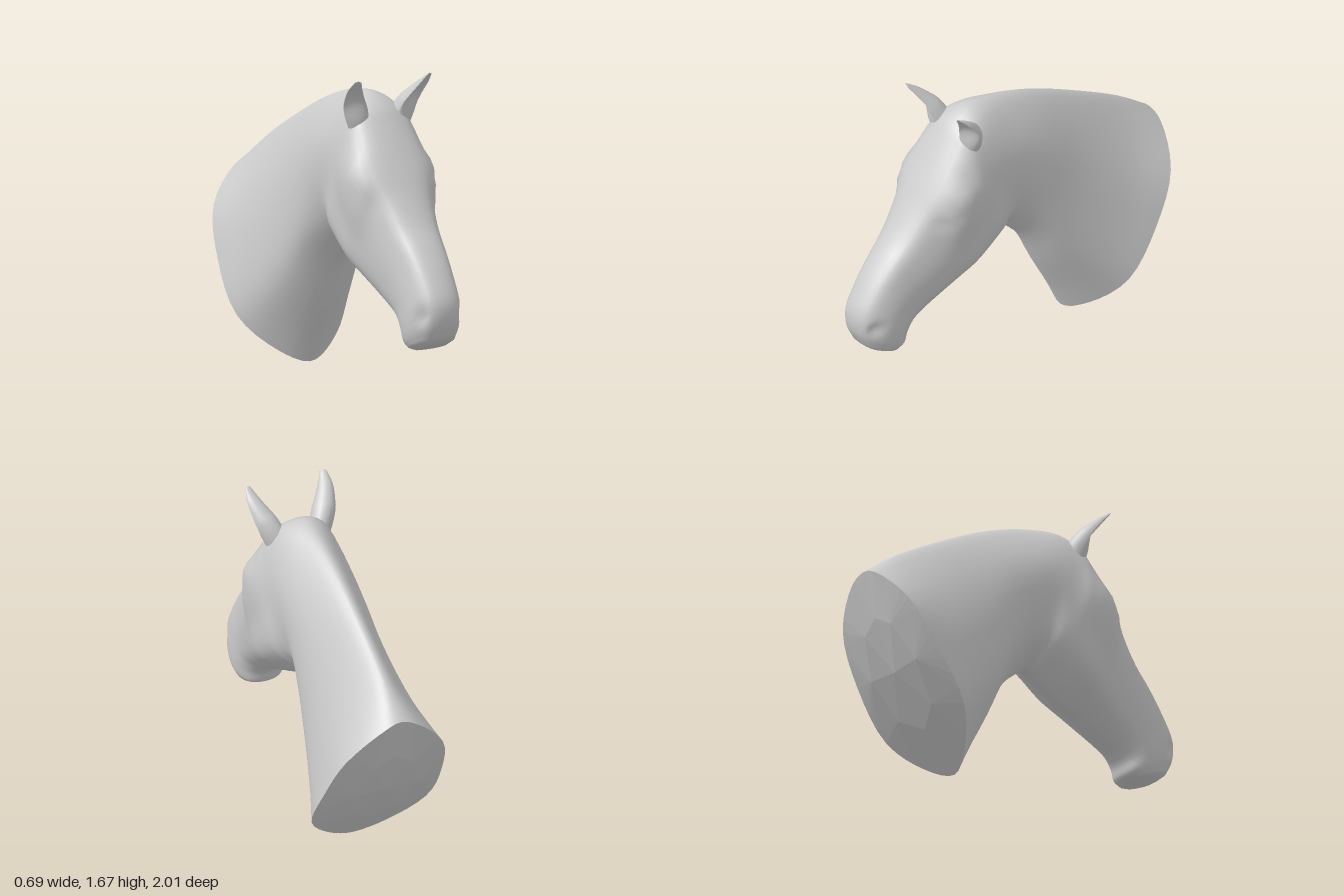
import * as THREE from 'three';

const V = (x, y, z) => new THREE.Vector3(x, y, z);
const grey = (o = {}) => new THREE.MeshStandardMaterial({ color: 0xcccccc, ...o });

// Cross-sections from neck base to lips: top z, top y, bottom z, bottom y,
// then half-widths at the STATIONS between top and bottom.
const STATIONS = [0.06, 0.28, 0.55, 0.8, 0.95];
const SECTIONS = [
  [-1.0, 0.99, -0.4, 0.0, 0.1, 0.275, 0.335, 0.325, 0.16],
  [-0.8, 1.14, -0.34, 0.13, 0.075, 0.215, 0.285, 0.275, 0.13],
  [-0.5, 1.31, -0.23, 0.34, 0.07, 0.18, 0.235, 0.22, 0.1],
  [-0.2, 1.455, -0.11, 0.58, 0.07, 0.175, 0.21, 0.185, 0.08],
  [0.05, 1.535, 0.0, 0.69, 0.08, 0.185, 0.205, 0.155, 0.06],
  [0.23, 1.555, 0.055, 0.718, 0.11, 0.195, 0.213, 0.183, 0.07],
  [0.34, 1.495, 0.09, 0.71, 0.145, 0.212, 0.225, 0.208, 0.09],
  [0.41, 1.41, 0.16, 0.67, 0.155, 0.242, 0.236, 0.215, 0.09],
  [0.54, 1.22, 0.28, 0.6, 0.17, 0.245, 0.232, 0.21, 0.085],
  [0.63, 1.08, 0.39, 0.55, 0.13, 0.188, 0.205, 0.185, 0.085],
  [0.73, 0.94, 0.49, 0.5, 0.11, 0.16, 0.178, 0.158, 0.08],
  [0.83, 0.83, 0.58, 0.455, 0.1, 0.143, 0.157, 0.14, 0.075],
  [0.93, 0.7, 0.645, 0.42, 0.09, 0.138, 0.15, 0.13, 0.075],
  [1.0, 0.57, 0.69, 0.37, 0.085, 0.132, 0.15, 0.132, 0.08],
  [1.0, 0.46, 0.71, 0.31, 0.078, 0.122, 0.14, 0.122, 0.08],
  [0.96, 0.37, 0.75, 0.29, 0.07, 0.105, 0.117, 0.105, 0.07],
];
const BOWS = [0.125, 0.05]; // how far the first sections bow backwards
const AROUND = 48, PER_SECTION = 4;

// Nostrils, eye hollows, brows and eyelids: centre, radius, depth (negative swells)
const DENTS = [
  [V(0.11, 0.5, 0.94), 0.06, 0.02],
  [V(0.2, 1.04, 0.57), 0.07, 0.012],
  [V(0.23, 1.18, 0.45), 0.11, -0.02],
  [V(0.21, 1.09, 0.53), 0.045, -0.01],
];

// Closed control loop of one section: top, left side, bottom, right side.
function sectionLoop([tz, ty, bz, by, ...widths], index) {
  const back = V(0, bz - tz, -(ty - by)).normalize();
  const bow = BOWS[index] || 0;
  const at = (t, x) => V(x, ty + (by - ty) * t, tz + (bz - tz) * t)
    .addScaledVector(back, bow * Math.sin(Math.PI * t) ** 0.7);
  const left = widths.map((w, i) => at(STATIONS[i], w));
  const right = widths.map((w, i) => at(STATIONS[i], -w)).reverse();
  const top = V(0, ty, tz), bottom = V(0, by, bz);
  return [top, ...left, bottom, ...right];
}

// Smooth skin over closed rings of equal length.
function skin(rings) {
  const n = rings[0].length, index = [];
  for (let i = 0; i < rings.length - 1; i++) {
    for (let j = 0; j < n; j++) {
      const k = (j + 1) % n;
      const a = i * n + j, b = i * n + k, c = a + n, d = b + n;
      index.push(a, c, b, b, c, d);
    }
  }
  const g = new THREE.BufferGeometry().setFromPoints(rings.flat());
  g.setIndex(index);
  g.computeVertexNormals();
  return g;
}

const centreOf = (ring) =>
  ring.reduce((s, p) => s.add(p), V(0, 0, 0)).divideScalar(ring.length);
const shrink = (ring, s, shift) => {
  const c = centreOf(ring);
  return ring.map((p) => c.clone().lerp(p, s).add(shift));
};

// Rings of the neck and head, interpolated both along and around.
function bodyRings() {
  const loops = SECTIONS.map(sectionLoop);
  const rails = loops[0].map((_, j) => new THREE.CatmullRomCurve3(loops.map((l) => l[j])));
  const steps = (SECTIONS.length - 1) * PER_SECTION, rings = [];
  for (let i = 0; i <= steps; i++) {
    const loop = new THREE.CatmullRomCurve3(rails.map((r) => r.getPoint(i / steps)), true);
    rings.push(Array.from({ length: AROUND }, (_, j) => loop.getPoint(j / AROUND)));
  }
  for (const p of rings.flat()) {
    for (const [c, radius, depth] of DENTS) {
      const d = Math.hypot(Math.abs(p.x) - c.x, p.y - c.y, p.z - c.z) / radius;
      if (d < 1) p.x -= Math.sign(p.x) * depth * (1 - d * d) ** 2;
    }
  }
  return rings;
}

// Faceted, slightly domed plate closing the neck.
function backPlate(rim) {
  const n = rim.length, STEP = 6, out = V(0, -0.52, -0.855);
  const inner = shrink(rim, 0.55, out.clone().multiplyScalar(0.05));
  const centre = centreOf(rim).addScaledVector(out, 0.065);
  const snap = (j) => inner[(Math.round(j / STEP) * STEP) % n];
  const pts = [];
  for (let j = 0; j < n; j++) {
    const k = (j + 1) % n, a = snap(j), b = snap(j + 1);
    pts.push(a, rim[j], rim[k]);
    if (a !== b) pts.push(a, rim[k], b, centre, a, b);
  }
  const g = new THREE.BufferGeometry().setFromPoints(pts);
  g.computeVertexNormals();
  return g;
}

// Cupped ear, open towards the front and outside; side is +1 or -1.
function earGeometry(side) {
  const axis = V(0.2, 0.79, 0.58).normalize();
  const back = V(-0.3, 0.56, -0.73).projectOnPlane(axis).normalize();
  const across = back.clone().cross(axis);
  const spine = new THREE.CatmullRomCurve3([V(0.11, 1.38, 0.3), V(0.147, 1.46, 0.33),
    V(0.18, 1.54, 0.37), V(0.206, 1.61, 0.418), V(0.215, 1.665, 0.462)]);
  // half-width, depth behind, front bulge (negative is hollow)
  const shape = new THREE.CatmullRomCurve3([V(0.06, 0.08, 0.8), V(0.064, 0.075, 0.5),
    V(0.057, 0.055, -0.2), V(0.04, 0.032, -0.35), V(0.018, 0.008, 0)]);
  const rings = [];
  for (let i = 0; i <= 16; i++) {
    const c = spine.getPoint(i / 16), s = shape.getPoint(i / 16), ring = [];
    for (let j = 0; j < 24; j++) {
      const a = (-side * j * Math.PI * 2) / 24, sin = Math.sin(a);
      const p = c.clone().addScaledVector(across, s.x * Math.cos(a))
        .addScaledVector(back, s.y * sin * (sin < 0 ? s.z : 1));
      p.x *= side;
      ring.push(p);
    }
    rings.push(ring);
  }
  rings.push(shrink(rings[16], 0, V(0, 0.007, 0.006)));
  return skin(rings);
}

export function createModel() {
  const group = new THREE.Group();
  const add = (name, geometry, material = grey()) => {
    const mesh = new THREE.Mesh(geometry, material);
    mesh.name = name;
    group.add(mesh);
  };

  // Neck, head and muzzle, closed at the lips
  const rings = bodyRings();
  const lips = rings[rings.length - 1];
  add('neckAndHead', skin([...rings, shrink(lips, 0.7, V(0, -0.018, 0)), shrink(lips, 0, V(0, -0.015, 0))]));
  add('backPlate', backPlate(rings[0]), grey({ flatShading: true }));
  add('leftEar', earGeometry(1));
  add('rightEar', earGeometry(-1));
  return group;
}
